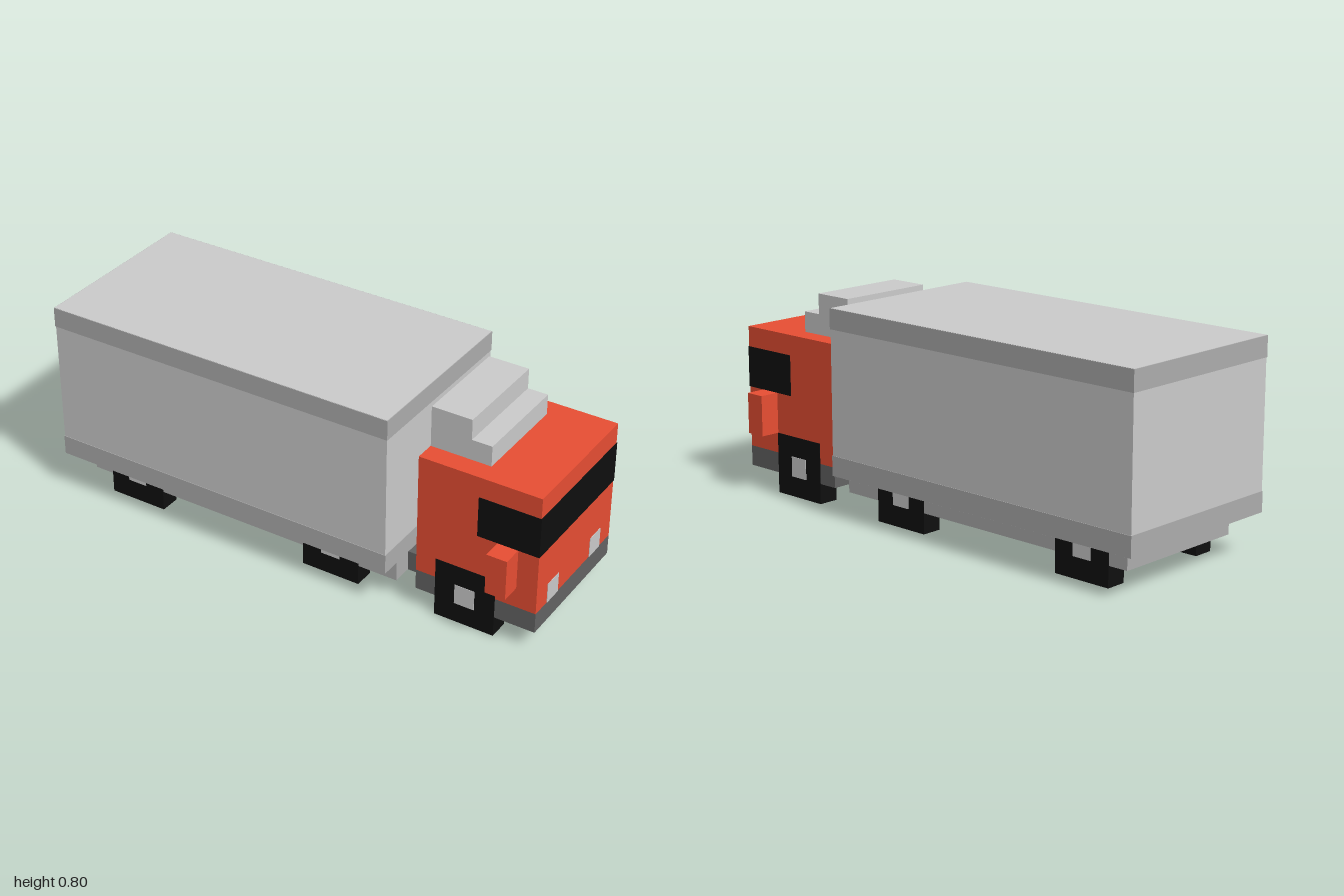
import * as THREE from 'three';

const paint = (color) => new THREE.MeshStandardMaterial({ color, flatShading: true });
const LIFT = 0.002; // keeps flush panels just proud of the surface behind

export function createModel() {
  const truck = new THREE.Group();
  truck.name = 'boxTruck';
  const light = paint(0xcccccc);
  const trim = paint(0xadadad);
  const dark = paint(0x636363);
  const black = paint(0x0f0f0f);
  const red = paint(0xe84e33);

  // Block given by its min and max along each axis
  function block(name, material, [x0, x1], [y0, y1], [z0, z1], parent = truck) {
    const mesh = new THREE.Mesh(new THREE.BoxGeometry(x1 - x0, y1 - y0, z1 - z0), material);
    mesh.position.set((x0 + x1) / 2, (y0 + y1) / 2, (z0 + z1) / 2);
    mesh.name = name;
    parent.add(mesh);
    return mesh;
  }
  // Block centred on z = 0
  const centred = (name, material, x, y, halfZ, parent) =>
    block(name, material, x, y, [-halfZ, halfZ], parent);
  const group = (name) => {
    const g = new THREE.Group();
    g.name = name;
    truck.add(g);
    return g;
  };

  // Cargo box with a darker band round its top and bottom edges
  const cargo = group('cargoBox');
  centred('cargoBody', light, [-1, 0.44], [0.16, 0.8], 0.36, cargo);
  for (const [name, y0] of [['lowerBand', 0.16], ['upperBand', 0.72]]) {
    centred(name, trim, [-1 - LIFT, 0.44 + LIFT], [y0 + LIFT / 2, y0 + 0.08 - LIFT / 2], 0.36 + LIFT, cargo);
  }

  // Chassis
  centred('cargoChassis', trim, [-0.92, 0.44], [0.08, 0.16], 0.28);
  centred('coupling', dark, [0.44, 0.52], [0.08, 0.16], 0.2);
  centred('cabBase', dark, [0.52, 1], [0.08, 0.16], 0.28);

  // Cab with wraparound windscreen and stepped roof deflector
  const cab = group('cab');
  centred('cabBody', red, [0.52, 1], [0.16, 0.64], 0.28, cab);
  centred('windscreen', black, [0.76, 1 + LIFT], [0.4, 0.56], 0.28 + LIFT, cab);
  centred('deflectorLower', light, [0.52, 0.76], [0.64, 0.72], 0.2, cab);
  centred('deflectorUpper', light, [0.52, 0.68], [0.72, 0.8], 0.2, cab);

  for (const side of [1, -1]) {
    const label = side > 0 ? 'left' : 'right';
    const zRange = (a, b) => (side > 0 ? [a, b] : [-b, -a]);

    block(label + 'Headlight', light, [0.98, 1 + LIFT], [0.16, 0.24], zRange(0.12, 0.2), cab);
    block(label + 'Mirror', red, [0.84, 0.92], [0.24, 0.4], zRange(0.28, 0.36), cab);

    // Square wheels; those under the cargo box stop at its floor
    for (const [axle, x, top] of [['Rear', -0.72, 0.16], ['Middle', 0.16, 0.16], ['Front', 0.72, 0.24]]) {
      const wheel = group(label + axle + 'Wheel');
      block('tyre', black, [x - 0.12, x + 0.12], [0, top], zRange(0.2, 0.28 + LIFT), wheel);
      block('hub', light, [x - 0.04, x + 0.04], [0.08, 0.16], zRange(0.26, 0.28 + 2 * LIFT), wheel);
    }
  }

  return truck;
}
